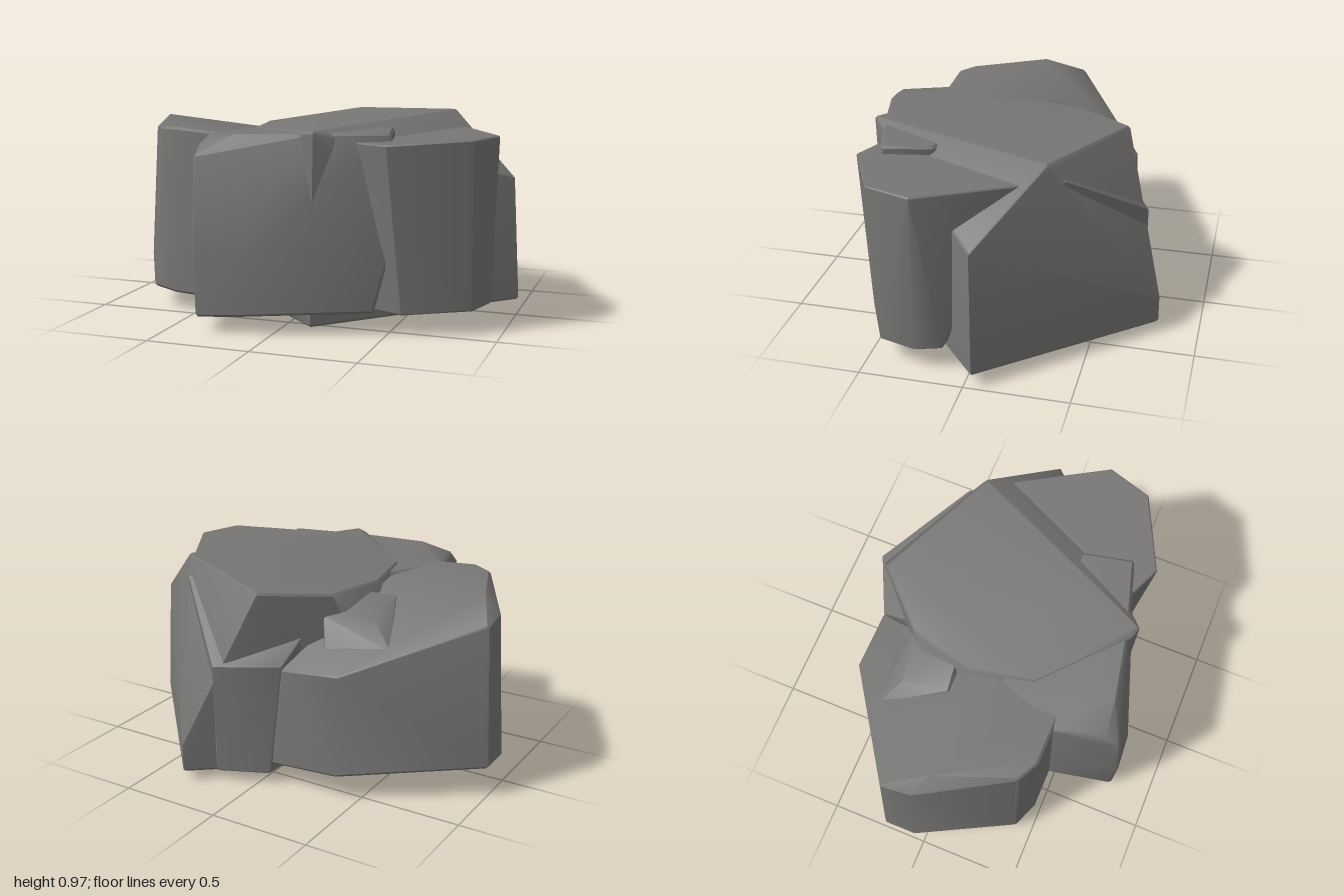
import * as THREE from 'three';
import { toCreasedNormals } from 'three/addons/utils/BufferGeometryUtils.js';
import { ConvexGeometry } from 'three/addons/geometries/ConvexGeometry.js';

const stone = new THREE.MeshStandardMaterial({ color: 0x777675 });
stone.name = 'grey stone';

// A convex boulder through the given corners, with each corner slightly chamfered
function boulder(name, corners, r = 0.012) {
  const pts = corners.map((c) => new THREE.Vector3(...c));
  const centre = pts.reduce((s, p) => s.add(p), new THREE.Vector3()).divideScalar(pts.length);
  const soft = [];
  for (const p of pts) {
    const q = p.clone().addScaledVector(p.clone().sub(centre).normalize(), -r);
    for (const s of [-r, r]) {
      soft.push(q.clone().add(new THREE.Vector3(s, 0, 0)));
      soft.push(q.clone().add(new THREE.Vector3(0, s, 0)));
      soft.push(q.clone().add(new THREE.Vector3(0, 0, s)));
    }
  }
  const mesh = new THREE.Mesh(toCreasedNormals(new ConvexGeometry(soft), 0.6), stone);
  mesh.name = name;
  return mesh;
}

export function createModel() {
  const group = new THREE.Group();
  group.name = 'rockCluster';
  group.add(
    // Tall central block on a slanted square base
    boulder('centralBoulder', [
      [0.32, 0.05, -0.8], [1, 0.07, -0.04], [0.16, 0.03, 0.65], [-0.52, 0, -0.03],
      [0.32, 0.18, -0.8], [0.97, 0.67, -0.03], [-0.48, 0.5, -0.03],
      [0.62, 0.965, -0.3], [0.02, 0.935, -0.58], [0.13, 0.62, -0.66],
      [-0.23, 0.9, -0.33], [-0.31, 0.9, -0.02], [-0.25, 0.9, 0.3],
      [0.12, 0.92, 0.64], [0.18, 0.93, 0.66], [0.3, 0.94, 0.42],
    ]),
    // Wide front block with a leaning face
    boulder('frontBoulder', [
      [-0.35, 0.07, 0.79], [-0.17, 0.08, 0.78], [0.45, 0.11, 0.6], [0.38, 0.11, 0.3],
      [-0.42, 0.07, 0.45], [-0.36, 0.4, 0.8], [-0.17, 0.35, 0.79], [0.52, 0.42, 0.55],
      [-0.36, 0.82, 0.76], [-0.36, 0.87, 0.7], [-0.2, 0.91, 0.68], [0.15, 0.92, 0.61],
      [0.5, 0.92, 0.51], [0.45, 0.92, 0.28], [-0.43, 0.88, 0.44], [-0.28, 0.89, 0.15],
      [-0.3, 0.07, 0.2],
    ]),
    // Tapering block at the front corner
    boulder('sideBoulder', [
      [0.69, 0.89, -0.19], [0.94, 0.9, 0.24], [0.87, 0.9, 0.46], [0.51, 0.88, 0.635],
      [0.34, 0.88, 0.56], [0.88, 0.11, 0.13], [0.92, 0.11, 0.25], [0.87, 0.11, 0.43],
      [0.57, 0.1, 0.57], [0.43, 0.1, 0.52], [0.5, 0.1, 0.1],
    ], 0.006),
    // Broad block whose top slopes down to the back
    boulder('broadBoulder', [
      [-1, 0.15, -0.2], [-1, 0.15, -0.04], [-0.75, 0.1, 0.42], [-0.62, 0.09, 0.47],
      [-0.3, 0.07, 0.47], [-0.4, 0.12, -0.59], [-0.05, 0.1, -0.59],
      [-0.96, 0.84, -0.18], [-0.95, 0.86, -0.03], [-0.86, 0.925, 0.02],
      [-0.71, 0.9, 0.4], [-0.61, 0.905, 0.455], [-0.3, 0.88, 0.46], [-0.25, 0.87, 0.02],
      [-0.4, 0.61, -0.57], [-0.1, 0.58, -0.57],
    ]),
    // Wedge leaning against the back
    boulder('backBoulder', [
      [0.18, 0.05, -0.71], [-0.05, 0.05, -0.61], [0.19, 0.59, -0.71], [-0.1, 0.6, -0.57],
      [-0.13, 0.73, -0.4], [0.575, 0.88, -0.37], [0.3, 0.8, -0.2], [0.4, 0.06, -0.2],
      [-0.1, 0.06, -0.2],
    ], 0.006),
    // Small shard poking through the broad block
    boulder('shard', [
      [-0.57, 0.71, -0.38], [-0.26, 0.64, -0.435], [-0.43, 0.86, -0.07],
      [-0.45, 0.8, -0.3], [-0.2, 0.8, -0.35], [-0.2, 0.87, -0.1],
      [-0.57, 0.04, -0.1], [-0.55, 0.04, 0.1], [-0.11, 0.05, 0.45], [-0.1, 0.05, -0.2],
    ], 0.005),
  );
  return group;
}
